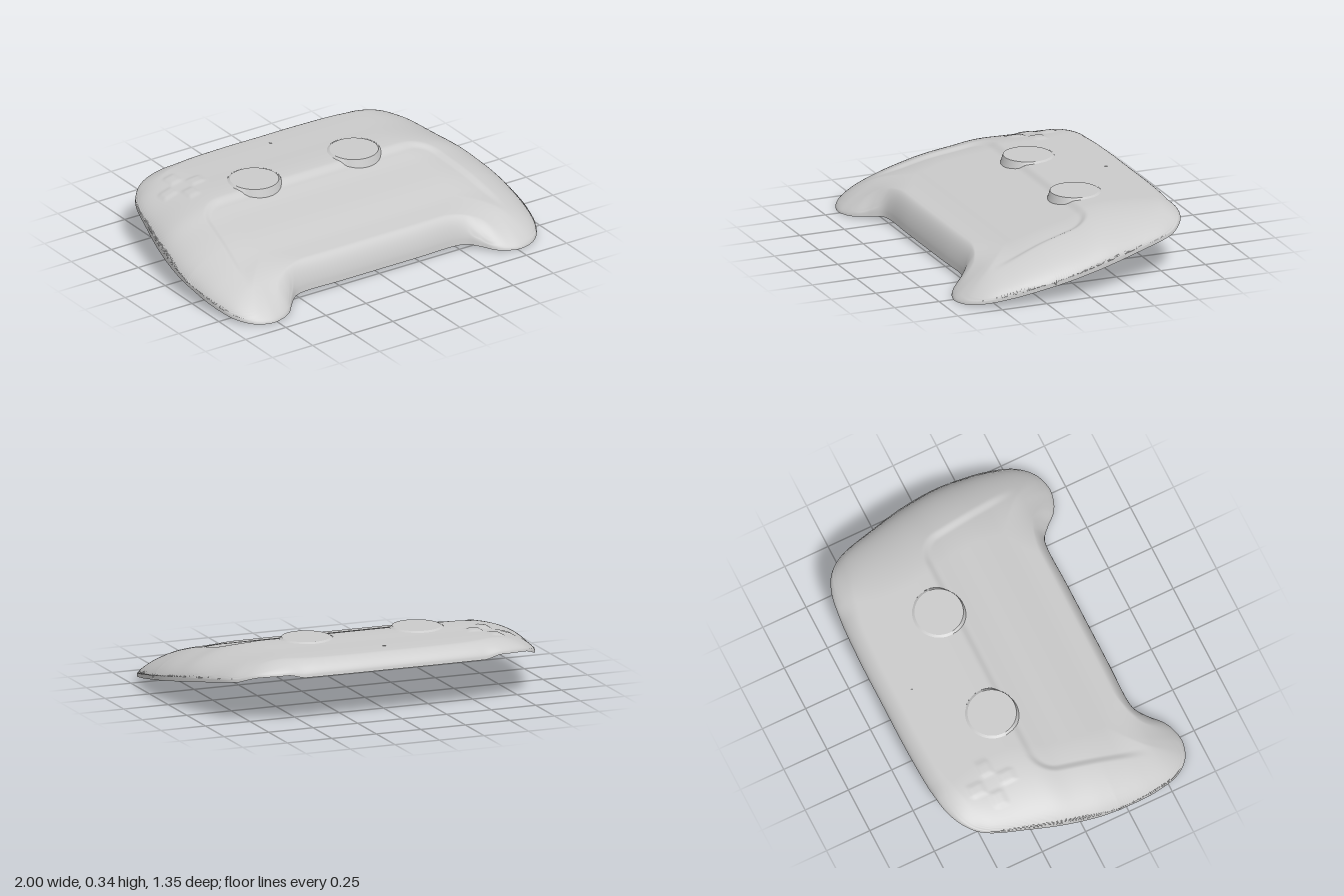
import * as THREE from 'three';

const { smoothstep, lerp } = THREE.MathUtils;
const curve = (pts) => new THREE.CatmullRomCurve3(pts.map((p) => new THREE.Vector3(...p)));

// Half outlines in plan: x, z, and the width of the rounded shoulder at that point
const backEdge = curve([
  [0, -0.675, 0.08], [0.25, -0.675, 0.08], [0.5, -0.665, 0.09], [0.66, -0.645, 0.13], [0.77, -0.595, 0.2],
  [0.85, -0.5, 0.3], [0.915, -0.3, 0.4], [0.967, -0.1, 0.4], [0.995, 0.08, 0.4], [1, 0.2, 0.4],
]);
const frontEdge = curve([
  [0, 0.51, 0.07], [0.25, 0.51, 0.07], [0.47, 0.508, 0.07], [0.53, 0.5, 0.08].map((v, i) => (i === 1 ? 0.52 : v)),
  [0.585, 0.565, 0.14], [0.645, 0.628, 0.26], [0.71, 0.66, 0.36], [0.78, 0.67, 0.4], [0.87, 0.64, 0.4],
  [0.94, 0.56, 0.4], [0.985, 0.4, 0.4], [1, 0.2, 0.4],
]);

const NU = 120, NV = 150;
const backPts = [], frontPts = [];
for (let i = 0; i <= NU; i++) {
  backPts.push(backEdge.getPointAt(i / NU));
  frontPts.push(frontEdge.getPointAt(i / NU));
}
const rimPts = [...backPts, ...frontPts];

// Crest height from back to front
const crest = new THREE.CubicInterpolant(
  [-0.68, -0.6, -0.4, -0.13, 0, 0.2, 0.4, 0.5, 0.6, 0.68],
  [0.325, 0.333, 0.337, 0.332, 0.302, 0.262, 0.205, 0.172, 0.13, 0.085], 1);

// Sunken centre panel with rounded back corners
function panelDepth(ax, z) {
  const r = 0.12;
  const px = ax - (0.73 + 0.18 * z) + r;
  const pz = -0.135 - z + r;
  const sd = Math.hypot(Math.max(px, 0), Math.max(pz, 0)) + Math.min(Math.max(px, pz), 0) - r;
  return 0.018 * smoothstep(-sd, -0.01, 0.035) * (1 - smoothstep(z, 0.3, 0.5));
}

// Four faint petals of the direction pad
function padBump(x, z) {
  const dx = Math.abs(x + 0.65), dz = Math.abs(z + 0.37);
  const along = Math.max(dx, dz), across = Math.min(dx, dz);
  return 0.006 * smoothstep(along, 0.035, 0.06) * (1 - smoothstep(along, 0.11, 0.14))
    * (1 - smoothstep(across, 0.022, 0.042));
}

// Height of the shell: sloping rim plane, rounded shoulder, then crest
function height(x, z) {
  const ax = Math.abs(x);
  let t = 1;
  for (const p of rimPts) t = Math.min(t, Math.hypot(ax - p.x, z - p.y) / p.z);
  const round = Math.pow(1 - Math.pow(1 - t, 1.8), 1 / 1.8);
  const cornerLift = 0.02 * smoothstep(ax, 0.5, 0.6) * smoothstep(-z, 0.52, 0.62);
  const rim = 0.125 - 0.185 * z + cornerLift;
  const top = crest.evaluate(z)[0];
  return rim + (top - rim) * round - panelDepth(ax, z) * round + padBump(x, z);
}

const STICK = { x: 0.31, z: -0.2, r: 0.14, topR: 0.127, top: 0.345 };

// Open shell, ruled between the back and front outlines, with two round openings
function shellGeometry() {
  const pos = [], index = [];
  for (let i = -NU; i <= NU; i++) {
    const b = backPts[Math.abs(i)], f = frontPts[Math.abs(i)], side = Math.sign(i);
    for (let j = 0; j <= NV; j++) {
      const v = j / NV;
      const t = lerp(v, 0.5 - 0.5 * Math.cos(Math.PI * v), 0.7);
      let x = side * lerp(b.x, f.x, t), z = lerp(b.y, f.y, t);
      // pull nearby points onto the rim of the openings
      const cx = STICK.x * (x < 0 ? -1 : 1);
      const d = Math.hypot(x - cx, z - STICK.z);
      if (Math.abs(d - STICK.r) < 0.007) {
        x = cx + (x - cx) * STICK.r / d;
        z = STICK.z + (z - STICK.z) * STICK.r / d;
      }
      pos.push(x, height(x, z), z);
    }
  }
  const addTri = (...tri) => {
    const mx = tri.reduce((s, k) => s + pos[k * 3], 0) / 3;
    const mz = tri.reduce((s, k) => s + pos[k * 3 + 2], 0) / 3;
    if (Math.hypot(Math.abs(mx) - STICK.x, mz - STICK.z) > STICK.r - 0.002) index.push(...tri);
  };
  for (let i = 0; i < 2 * NU; i++) {
    for (let j = 0; j < NV; j++) {
      const a = i * (NV + 1) + j, c = a + NV + 1;
      addTri(a, a + 1, c);
      addTri(c, a + 1, c + 1);
    }
  }
  const g = new THREE.BufferGeometry();
  g.setAttribute('position', new THREE.Float32BufferAttribute(pos, 3));
  g.setIndex(index);
  g.computeVertexNormals();
  return g;
}

// Hollow stick cap whose lower edge follows the shell
function stickWall(cx) {
  const g = new THREE.CylinderGeometry(STICK.topR, STICK.r, 0.04, 64, 1, true);
  const p = g.attributes.position;
  for (let i = 0; i < p.count; i++) {
    const x = p.getX(i) + cx, z = p.getZ(i) + STICK.z;
    p.setXYZ(i, x, p.getY(i) > 0 ? STICK.top : height(x, z) - 0.001, z);
  }
  g.computeVertexNormals();
  return g;
}

export function createModel() {
  const model = new THREE.Group();
  const material = new THREE.MeshStandardMaterial({ color: 0xcccccc, side: THREE.DoubleSide });
  const add = (name, geometry, parent = model) => {
    const mesh = new THREE.Mesh(geometry, material);
    mesh.name = name;
    parent.add(mesh);
    return mesh;
  };

  add('shell', shellGeometry());

  for (const [name, s] of [['leftStick', 1], ['rightStick', -1]]) {
    const stick = new THREE.Group();
    stick.name = name;
    model.add(stick);
    add('stickWall', stickWall(s * STICK.x), stick);
    const cap = add('stickCap', new THREE.CircleGeometry(STICK.topR, 64).rotateX(-Math.PI / 2), stick);
    cap.position.set(s * STICK.x, STICK.top, STICK.z);
  }

  // Tiny indicator on the centre line
  const dot = add('indicator', new THREE.CylinderGeometry(0.01, 0.01, 0.004, 6));
  dot.position.set(0, height(0, -0.51), -0.51);
  return model;
}
